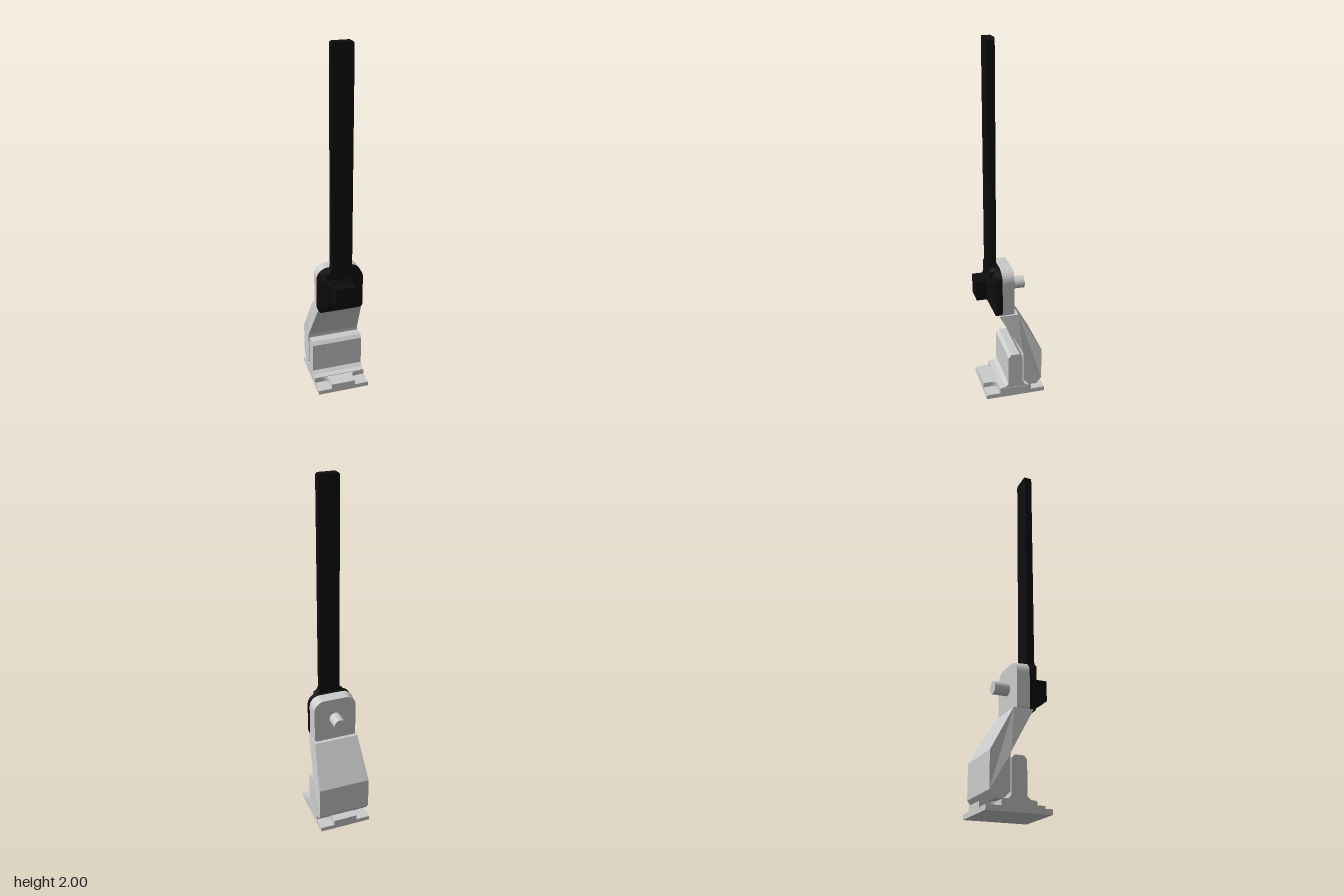
import * as THREE from 'three';

const grey = new THREE.MeshStandardMaterial({ color: 0xcccccc, flatShading: true });
const black = new THREE.MeshStandardMaterial({ color: 0x0d0d0d, flatShading: true });

function add(group, name, geometry, material = grey) {
  const mesh = new THREE.Mesh(geometry, material);
  mesh.name = name;
  group.add(mesh);
  return mesh;
}

// Counter-clockwise rounded rectangle; rb and rt are the bottom and top corner radii.
function roundedRect(halfW, y0, y1, rb, rt, steps = 7) {
  const corners = [
    [halfW - rb, y0 + rb, rb, -0.5], [halfW - rt, y1 - rt, rt, 0],
    [rt - halfW, y1 - rt, rt, 0.5], [rb - halfW, y0 + rb, rb, 1],
  ];
  const points = [];
  for (const [cx, cy, r, start] of corners) {
    for (let i = 0; i <= steps; i++) {
      const a = Math.PI * (start + 0.5 * i / steps);
      points.push(new THREE.Vector2(cx + r * Math.cos(a), cy + r * Math.sin(a)));
    }
  }
  return points;
}

// Solid through equal-length outlines, each given as [z, points], from back to front.
function loft(sections) {
  const n = sections[0][1].length;
  const pos = [], index = [];
  for (const [z, pts] of sections) for (const p of pts) pos.push(p.x, p.y, z);
  const last = (sections.length - 1) * n;
  for (let s = 0; s < sections.length - 1; s++) {
    for (let i = 0; i < n; i++) {
      const a = s * n + i, b = s * n + (i + 1) % n;
      index.push(a, b, b + n, a, b + n, a + n);
    }
  }
  for (let i = 1; i < n - 1; i++) {
    index.push(0, i + 1, i, last, last + i, last + i + 1);
  }
  const g = new THREE.BufferGeometry();
  g.setAttribute('position', new THREE.Float32BufferAttribute(pos, 3));
  g.setIndex(index);
  g.computeVertexNormals();
  return g;
}

// Side profile of [z, y] pairs extruded across x.
function sideProfile(pairs, width) {
  const shape = new THREE.Shape(pairs.map(([z, y]) => new THREE.Vector2(z, y)));
  const g = new THREE.ExtrudeGeometry(shape, { depth: width, bevelEnabled: false });
  return g.translate(0, 0, -width / 2).rotateY(-Math.PI / 2);
}

// Base: thin sheet with a raised cross that leaves four filleted corner pockets.
function makeBase() {
  const base = new THREE.Group();
  base.name = 'base';
  add(base, 'basePlate', new THREE.BoxGeometry(0.3, 0.026, 0.342).translate(0, 0.013, -0.014));

  const w = 0.15, c = 0.07, r = 0.035, end = 0.171, inner = 0.091;
  const s = new THREE.Shape();
  s.moveTo(-c, -end);
  s.lineTo(c, -end);
  s.lineTo(c, -inner - r);
  s.quadraticCurveTo(c, -inner, c + r, -inner);
  s.lineTo(w, -inner);
  s.lineTo(w, inner);
  s.lineTo(c + r, inner);
  s.quadraticCurveTo(c, inner, c, inner + r);
  s.lineTo(c, end);
  s.lineTo(-c, end);
  s.lineTo(-c, inner + r);
  s.quadraticCurveTo(-c, inner, -c - r, inner);
  s.lineTo(-w, inner);
  s.lineTo(-w, -inner);
  s.lineTo(-c - r, -inner);
  s.quadraticCurveTo(-c, -inner, -c, -inner - r);
  const raised = new THREE.ExtrudeGeometry(s, { depth: 0.03, bevelEnabled: false, curveSegments: 6 });
  add(base, 'raisedCross', raised.rotateX(Math.PI / 2).translate(0, 0.055, -0.014));

  // Upright lug with chamfered top and flared foot.
  add(base, 'uprightLug', sideProfile([
    [-0.1, 0.05], [0.076, 0.05], [0.076, 0.058], [0.045, 0.062], [0.027, 0.078],
    [0.027, 0.252], [0.01, 0.27], [-0.037, 0.27], [-0.054, 0.252],
    [-0.054, 0.078], [-0.07, 0.062], [-0.1, 0.058],
  ], 0.296));
  return base;
}

// Cranked arm, narrowing towards the head.
function makeArm() {
  const arm = new THREE.Group();
  arm.name = 'arm';
  const g = sideProfile([
    [-0.095, 0.058], [-0.06, 0.095], [-0.06, 0.27], [-0.055, 0.285], [0.075, 0.515],
    [-0.033, 0.515], [-0.166, 0.28], [-0.166, 0.095], [-0.138, 0.058],
  ], 0.3);
  const p = g.attributes.position;
  for (let i = 0; i < p.count; i++) {
    const t = THREE.MathUtils.clamp((p.getY(i) - 0.28) / 0.235, 0, 1);
    p.setX(i, p.getX(i) * (1 - 0.14 * t));
  }
  g.computeVertexNormals();
  add(arm, 'crankedArm', g);

  add(arm, 'headPlate', loft([
    [-0.013, roundedRect(0.123, 0.514, 0.773, 0.012, 0.06)],
    [0.056, roundedRect(0.128, 0.514, 0.775, 0.012, 0.06)],
  ]));
  const pin = add(arm, 'pin', new THREE.CylinderGeometry(0.035, 0.035, 0.09, 32).rotateX(Math.PI / 2));
  pin.position.set(0, 0.65, -0.051);
  pin.material = new THREE.MeshStandardMaterial({ color: 0xcccccc });
  return arm;
}

// Black handle: bevelled hub, square boss and long flat blade.
function makeHandle() {
  const handle = new THREE.Group();
  handle.name = 'handle';
  add(handle, 'hub', loft([
    [0.056, roundedRect(0.129, 0.514, 0.778, 0.022, 0.07)],
    [0.091, roundedRect(0.129, 0.514, 0.778, 0.022, 0.07)],
    [0.128, roundedRect(0.058, 0.595, 0.706, 0.003, 0.003)],
  ]), black);
  add(handle, 'boss', new THREE.BoxGeometry(0.115, 0.11, 0.065).translate(0, 0.65, 0.1525), black);

  const b = 0.057, r = 0.015;
  const s = new THREE.Shape();
  s.moveTo(-0.085, 0.72);
  s.lineTo(0.085, 0.72);
  s.lineTo(0.085, 0.77);
  s.quadraticCurveTo(b, 0.78, b, 0.81);
  s.lineTo(b, 2 - r);
  s.quadraticCurveTo(b, 2, b - r, 2);
  s.lineTo(r - b, 2);
  s.quadraticCurveTo(-b, 2, -b, 2 - r);
  s.lineTo(-b, 0.81);
  s.quadraticCurveTo(-b, 0.78, -0.085, 0.77);
  const blade = new THREE.ExtrudeGeometry(s, { depth: 0.042, bevelEnabled: false, curveSegments: 6 });
  add(handle, 'blade', blade.translate(0, 0, 0.074), black);
  return handle;
}

export function createModel() {
  const model = new THREE.Group();
  model.name = 'leverHinge';
  model.add(makeBase(), makeArm(), makeHandle());
  return model;
}
